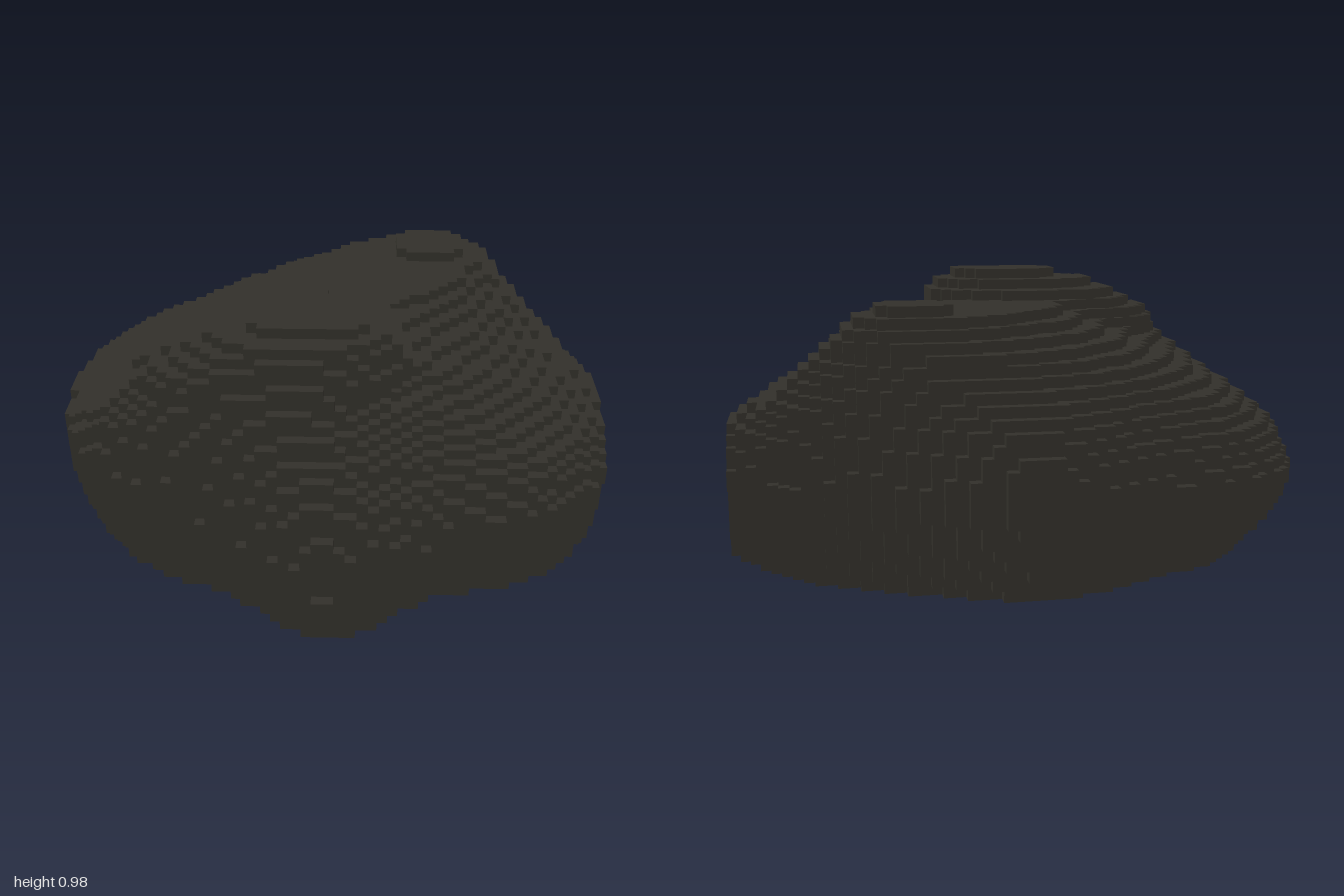
import * as THREE from 'three';

// Voxel boulder: 55 x 27 x 48 cubes
const NX = 55, NY = 27, NZ = 48, S = 2 / NX;

// Outline radii every 30 degrees (from +x towards +z) at rising heights
const LEVELS = [
  { y: 0.00, r: [1.02, 0.92, 0.73, 0.83, 0.72, 0.83, 0.83, 0.86, 0.77, 0.79, 0.78, 0.90] },
  { y: 0.15, r: [1.04, 0.95, 0.75, 0.84, 0.76, 0.91, 0.95, 0.99, 0.82, 0.84, 0.82, 0.93] },
  { y: 0.30, r: [1.04, 0.97, 0.75, 0.84, 0.76, 0.94, 1.01, 1.06, 0.85, 0.88, 0.84, 0.95] },
  { y: 0.44, r: [1.01, 0.89, 0.70, 0.81, 0.75, 0.93, 1.00, 0.98, 0.81, 0.87, 0.82, 0.93] },
  { y: 0.55, r: [0.88, 0.75, 0.62, 0.76, 0.74, 0.91, 0.88, 0.84, 0.74, 0.82, 0.80, 0.90] },
  { y: 0.65, r: [0.70, 0.59, 0.54, 0.69, 0.72, 0.87, 0.72, 0.66, 0.66, 0.70, 0.77, 0.84] },
  { y: 0.75, r: [0.54, 0.43, 0.45, 0.62, 0.69, 0.78, 0.48, 0.46, 0.51, 0.60, 0.73, 0.76] },
  { y: 0.87, r: [0.27, 0.17, 0.21, 0.57, 0.59, 0.61, 0.18, 0.20, 0.25, 0.36, 0.61, 0.57] },
];

// Two humps rising from the saddle: layer, centre and radii
const HUMPS = [
  { j: 21, x: -0.20, z: 0.31, rx: 0.46, rz: 0.30 },
  { j: 22, x: -0.18, z: 0.31, rx: 0.45, rz: 0.29 },
  { j: 23, x: -0.16, z: 0.31, rx: 0.40, rz: 0.28 },
  { j: 24, x: -0.13, z: 0.31, rx: 0.37, rz: 0.26 },
  { j: 25, x: -0.11, z: 0.345, rx: 0.31, rz: 0.20 },
  { j: 26, x: -0.075, z: 0.35, rx: 0.20, rz: 0.14 },
  { j: 21, x: 0.35, z: -0.38, rx: 0.28, rz: 0.23 },
  { j: 22, x: 0.35, z: -0.38, rx: 0.26, rz: 0.21 },
  { j: 23, x: 0.34, z: -0.38, rx: 0.23, rz: 0.18 },
  { j: 24, x: 0.365, z: -0.40, rx: 0.14, rz: 0.12 },
];

// Smooth closed curve through one ring of radii
function ringRadius(r, turn) {
  const s = Math.floor(turn), u = turn - s;
  const [a, b, c, d] = [11, 12, 13, 14].map((n) => r[(s + n) % 12]);
  return b + 0.5 * u * (c - a + u * (2 * a - 5 * b + 4 * c - d + u * (3 * (b - c) + d - a)));
}

function radiusAt(y, angle) {
  let n = 0;
  while (n < LEVELS.length - 2 && LEVELS[n + 1].y < y) n++;
  const low = LEVELS[n], high = LEVELS[n + 1];
  const t = Math.min(1, (y - low.y) / (high.y - low.y));
  const turn = ((angle / (Math.PI * 2) + 1) % 1) * 12;
  return ringRadius(low.r, turn) * (1 - t) + ringRadius(high.r, turn) * t;
}

function isSolid(i, j, k) {
  const x = (i + 0.5 - NX / 2) * S, y = (j + 0.5) * S, z = (k + 0.5 - NZ / 2) * S;
  if (j === 4 && k > 40 && Math.abs(x + 0.018) < 0.03) return true; // front nub
  if (j < 24 && Math.hypot(x, z) <= radiusAt(y, Math.atan2(z, x))) return true;
  return HUMPS.some((h) => h.j === j
    && Math.abs((x - h.x) / h.rx) ** 2.4 + Math.abs((z - h.z) / h.rz) ** 2.4 <= 1);
}

// Emit only the exposed cube faces
function voxelGeometry() {
  const grid = new Uint8Array(NX * NY * NZ);
  const at = (i, j, k) => i + NX * (j + NY * k);
  for (let k = 0; k < NZ; k++) for (let j = 0; j < NY; j++) for (let i = 0; i < NX; i++) {
    grid[at(i, j, k)] = isSolid(i, j, k) ? 1 : 0;
  }
  const size = [NX, NY, NZ];
  const filled = (c) => c.every((v, n) => v >= 0 && v < size[n]) && grid[at(...c)] === 1;
  const positions = [], normals = [], index = [];
  for (let k = 0; k < NZ; k++) for (let j = 0; j < NY; j++) for (let i = 0; i < NX; i++) {
    if (!grid[at(i, j, k)]) continue;
    for (let axis = 0; axis < 3; axis++) for (const side of [-1, 1]) {
      const next = [i, j, k];
      next[axis] += side;
      if (filled(next)) continue;
      const u = (axis + 1) % 3, v = (axis + 2) % 3, base = positions.length / 3;
      const normal = [0, 0, 0];
      normal[axis] = side;
      for (const [du, dv] of [[0, 0], [1, 0], [1, 1], [0, 1]]) {
        const p = [i, j, k];
        p[axis] += side > 0 ? 1 : 0;
        p[u] += du;
        p[v] += dv;
        positions.push((p[0] - NX / 2) * S, p[1] * S, (p[2] - NZ / 2) * S);
        normals.push(...normal);
      }
      const order = side > 0 ? [0, 1, 2, 0, 2, 3] : [0, 2, 1, 0, 3, 2];
      index.push(...order.map((n) => base + n));
    }
  }
  const geometry = new THREE.BufferGeometry();
  geometry.setAttribute('position', new THREE.Float32BufferAttribute(positions, 3));
  geometry.setAttribute('normal', new THREE.Float32BufferAttribute(normals, 3));
  geometry.setIndex(index);
  return geometry;
}

export function createModel() {
  const stone = new THREE.MeshStandardMaterial({ color: 0x32302a });
  stone.name = 'dark stone';
  const boulder = new THREE.Mesh(voxelGeometry(), stone);
  boulder.name = 'boulder';
  const group = new THREE.Group();
  group.name = 'voxel boulder';
  group.add(boulder);
  return group;
}
